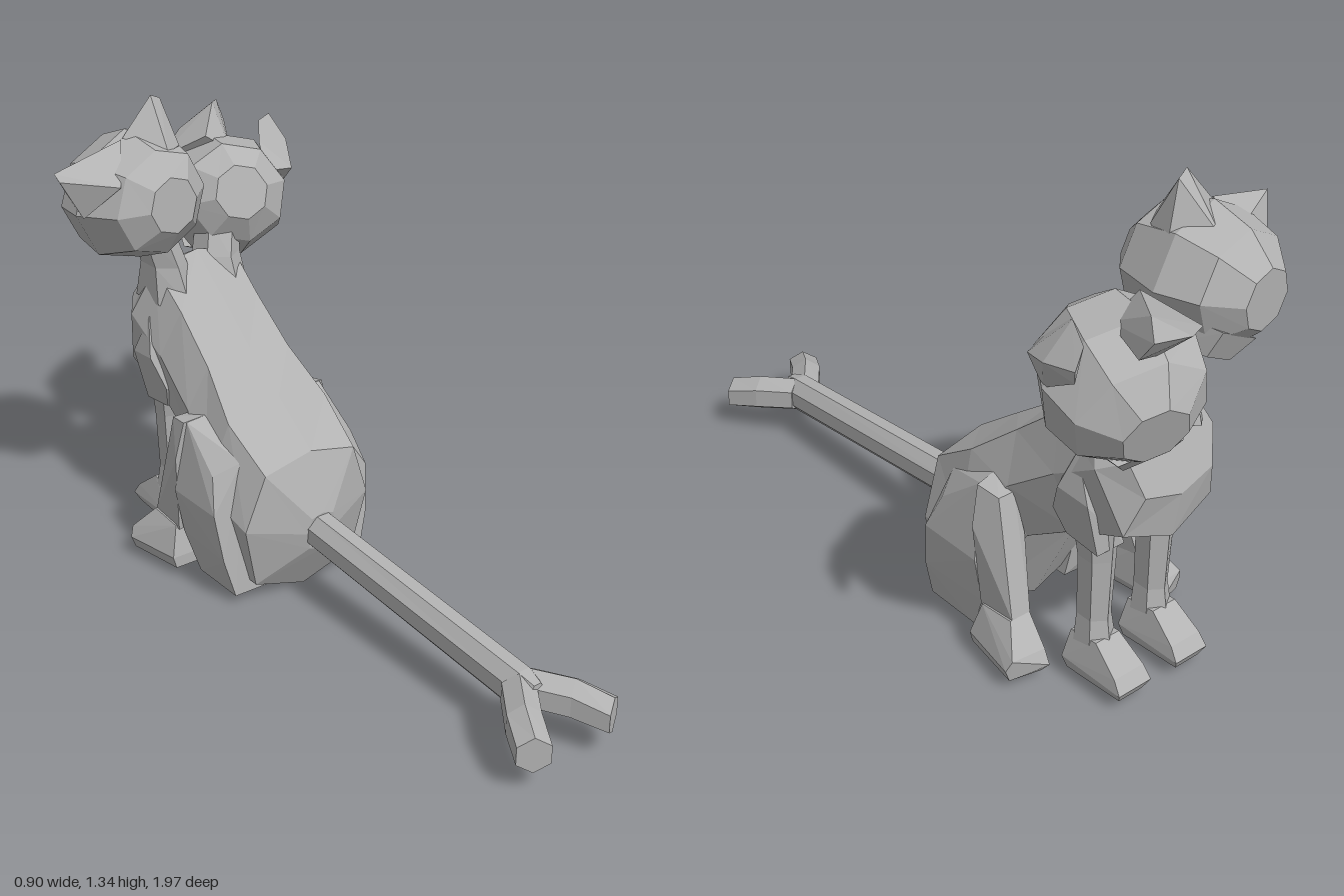
import * as THREE from 'three';
import { ConvexGeometry } from 'three/addons/geometries/ConvexGeometry.js';

const V = (x, y, z) => new THREE.Vector3(x, y, z);
const grey = new THREE.MeshStandardMaterial({ color: 0xb2b2b2, flatShading: true });
grey.name = 'grey';

// Skin a list of equal-sized rings and close both ends; faces are turned outward
function loft(rings) {
  const tris = [], n = rings[0].length;
  for (let i = 0; i < rings.length - 1; i++) {
    for (let j = 0; j < n; j++) {
      const k = (j + 1) % n, a = rings[i], b = rings[i + 1];
      tris.push([a[j], a[k], b[k]], [a[j], b[k], b[j]]);
    }
  }
  const last = rings[rings.length - 1];
  for (let j = 1; j < n - 1; j++) {
    tris.push([rings[0][0], rings[0][j + 1], rings[0][j]], [last[0], last[j], last[j + 1]]);
  }
  let volume = 0;
  for (const [a, b, c] of tris) volume += a.dot(b.clone().cross(c));
  const pts = tris.flatMap(([a, b, c]) => (volume < 0 ? [a, c, b] : [a, b, c]));
  const g = new THREE.BufferGeometry().setFromPoints(pts);
  g.computeVertexNormals();
  return g;
}

// Ring around a centre, spanned by two half-axis vectors
function ring(c, u, v, n, turn = 0) {
  return Array.from({ length: n }, (_, i) => {
    const t = ((i + turn) / n) * Math.PI * 2;
    return c.clone().addScaledVector(u, Math.cos(t)).addScaledVector(v, Math.sin(t));
  });
}

function part(parent, name, geometry) {
  const m = new THREE.Mesh(geometry, grey);
  m.name = name;
  parent.add(m);
  return m;
}

const hull = (pts) => new ConvexGeometry(pts.map((p) => V(...p)));

// Upright limb from rows of x, y, z, half width, half depth
const limb = (rows, n = 6) =>
  loft(rows.map(([x, y, z, w, d]) => ring(V(x, y, z), V(w, 0, 0), V(0, 0, d), n, 0.5)));

// Torso rows: top z, top y, bottom z, bottom y, half width
function torso() {
  const outline = [[0, 1], [0.72, 0.84], [1, 0.1], [0.8, -0.75], [0, -1], [-0.8, -0.75], [-1, 0.1], [-0.72, 0.84]];
  const rows = [
    [-0.035, 0.27, -0.045, 0.15, 0.05],
    [-0.09, 0.44, -0.13, 0.0, 0.21],
    [-0.24, 0.55, -0.32, 0.02, 0.23],
    [-0.38, 0.65, -0.46, 0.3, 0.19],
    [-0.52, 0.77, -0.63, 0.4, 0.18],
    [-0.64, 0.87, -0.8, 0.47, 0.185],
    [-0.74, 0.82, -0.82, 0.6, 0.14],
  ];
  return loft(rows.map(([tz, ty, bz, by, w]) => outline.map(([x, s]) => {
    const t = (s + 1) / 2;
    return V(x * w, by + (ty - by) * t, bz + (tz - bz) * t);
  })));
}

// Faceted head looking along "face", with its crown along "up"
function head(name, centre, up, face) {
  const g = new THREE.Group();
  g.name = name;
  const f = V(...face).normalize();
  const r = V(...up).cross(f).normalize();
  const u = f.clone().cross(r);
  g.applyMatrix4(new THREE.Matrix4().makeBasis(r, u, f).setPosition(...centre));
  const rows = [[-0.185, 0.08, 0.08], [-0.13, 0.155, 0.145], [0, 0.198, 0.185], [0.11, 0.17, 0.15], [0.18, 0.085, 0.08]];
  part(g, 'skull', loft(rows.map(([z, w, h]) => ring(V(0, 0, z), V(w, 0, 0), V(0, h, 0), 8, 0.5))));
  // lower jaw sits under a slight overhang of the muzzle
  part(g, 'jaw', hull([
    [-0.12, -0.1, 0.05], [0.12, -0.1, 0.05], [-0.08, -0.1, 0.15], [0.08, -0.1, 0.15],
    [-0.09, -0.17, 0.04], [0.09, -0.17, 0.04], [-0.055, -0.17, 0.12], [0.055, -0.17, 0.12],
  ]));
  return g;
}

export function createModel() {
  const cat = new THREE.Group();
  cat.name = 'twoHeadedCat';

  part(cat, 'body', torso());

  // Tail with a forked end
  const tailRows = [[-0.1, 0.215, 0.052, 0.058], [0.78, 0.14, 0.05, 0.06], [0.83, 0.13, 0.03, 0.055]];
  part(cat, 'tail', loft(tailRows.map(([z, y, w, h]) => ring(V(0, y, z), V(w, 0, 0), V(0, h, 0), 8, 0.5))));
  for (const s of [1, -1]) {
    const rows = [[0.015, 0.14, 0.78, 0.055], [0.085, 0.13, 0.875, 0.057], [0.132, 0.11, 0.962, 0.05]];
    part(cat, 'tailFork', loft(rows.map(([x, y, z, h]) =>
      ring(V(s * x, y, z), V(s * 0.042, 0, -0.026), V(0, h, 0), 6, 0.5))));
  }

  for (const s of [1, -1]) {
    const side = (pts) => hull(pts.map(([x, y, z]) => [s * x, y, z]));
    const mirrored = (rows) => limb(rows.map(([x, ...rest]) => [s * x, ...rest]));

    // Hind leg: broad thigh, shin running down its front edge, splayed foot
    part(cat, 'thigh', side([
      [0.17, 0.5, -0.35], [0.23, 0.49, -0.36], [0.17, 0.42, -0.18], [0.24, 0.38, -0.22],
      [0.265, 0.28, -0.18], [0.265, 0.28, -0.38], [0.25, 0.14, -0.16], [0.22, 0.025, -0.15],
      [0.22, 0.025, -0.33], [0.24, 0.14, -0.38], [0.1, 0.025, -0.15], [0.1, 0.03, -0.33], [0.12, 0.4, -0.4],
    ]));
    part(cat, 'shin', side([
      [0.17, 0.5, -0.35], [0.24, 0.49, -0.36], [0.18, 0.48, -0.43], [0.23, 0.48, -0.43],
      [0.265, 0.38, -0.37], [0.16, 0.36, -0.45], [0.24, 0.34, -0.455],
      [0.18, 0.14, -0.4], [0.25, 0.14, -0.39], [0.19, 0.16, -0.51], [0.25, 0.16, -0.51],
    ]));
    part(cat, 'hindFoot', side([
      [0.18, 0.15, -0.4], [0.255, 0.15, -0.4], [0.19, 0.17, -0.5], [0.255, 0.16, -0.51],
      [0.17, 0.06, -0.38], [0.28, 0.06, -0.38], [0.19, 0.025, -0.38], [0.27, 0.025, -0.38],
      [0.2, 0.09, -0.58], [0.3, 0.09, -0.57], [0.2, 0.05, -0.6], [0.313, 0.06, -0.56],
      [0.21, 0.025, -0.58], [0.3, 0.025, -0.56],
    ]));

    // Front leg and shoulder
    part(cat, 'shoulder', side([
      [0.1, 0.72, -0.6], [0.17, 0.7, -0.64], [0.195, 0.59, -0.6], [0.19, 0.58, -0.7],
      [0.15, 0.43, -0.59], [0.15, 0.42, -0.7], [0.06, 0.42, -0.59], [0.06, 0.42, -0.7],
      [0.17, 0.5, -0.56], [0.1, 0.5, -0.56],
    ]));
    part(cat, 'frontLeg', mirrored([
      [0.105, 0.5, -0.645, 0.058, 0.065], [0.1, 0.38, -0.65, 0.048, 0.052],
      [0.1, 0.2, -0.648, 0.042, 0.05], [0.1, 0.1, -0.655, 0.055, 0.06],
    ]));
    part(cat, 'frontPaw', side([
      [0.06, 0.14, -0.61], [0.14, 0.14, -0.61], [0.06, 0.15, -0.7], [0.14, 0.15, -0.7],
      [0.04, 0.06, -0.6], [0.16, 0.06, -0.6], [0.05, 0.025, -0.61], [0.15, 0.025, -0.61],
      [0.05, 0.09, -0.78], [0.15, 0.09, -0.78], [0.045, 0.055, -0.805], [0.155, 0.055, -0.805],
      [0.06, 0.025, -0.79], [0.14, 0.025, -0.79],
    ]));
  }

  // Two necks
  part(cat, 'rightNeck', limb([[-0.085, 0.74, -0.67, 0.08, 0.12], [-0.1, 0.85, -0.66, 0.06, 0.08], [-0.135, 0.96, -0.66, 0.055, 0.07]]));
  part(cat, 'leftNeck', limb([[0.085, 0.74, -0.67, 0.08, 0.12], [0.085, 0.84, -0.67, 0.065, 0.08], [0.12, 0.94, -0.7, 0.065, 0.07]]));

  cat.add(head('rightHead', [-0.185, 1.065, -0.67], [-0.44, 0.89, 0.1], [-0.12, -0.05, -1]));
  cat.add(head('leftHead', [0.185, 0.965, -0.775], [0.3, 0.9, -0.2], [0.25, -0.3, -0.9]));

  // Upright ears of the right head
  part(cat, 'rightHeadEar', hull([
    [-0.45, 1.185, -0.62], [-0.445, 1.165, -0.6], [-0.38, 1.05, -0.6], [-0.35, 1.06, -0.72],
    [-0.3, 1.14, -0.53], [-0.23, 1.235, -0.64], [-0.25, 1.18, -0.72],
  ]));
  part(cat, 'rightHeadEar', hull([
    [-0.125, 1.34, -0.65], [-0.09, 1.325, -0.66], [-0.22, 1.235, -0.65], [-0.13, 1.2, -0.56],
    [-0.07, 1.2, -0.6], [-0.04, 1.15, -0.68], [-0.15, 1.19, -0.75],
  ]));

  // Long swept ears of the left head
  part(cat, 'leftHeadEar', hull([
    [0.31, 1.185, -0.99], [0.31, 1.13, -0.95], [0.25, 1.2, -0.92], [0.12, 1.155, -0.76],
    [0.03, 1.08, -0.87], [0.15, 1.13, -0.95], [0.2, 1.08, -0.9], [0.2, 1.1, -0.75],
  ]));
  part(cat, 'leftHeadEar', hull([
    [0.45, 1.135, -0.91], [0.44, 1.1, -0.9], [0.37, 1.14, -0.85], [0.28, 1.12, -0.72],
    [0.24, 1.06, -0.63], [0.355, 1.04, -0.66], [0.36, 0.98, -0.72], [0.42, 1.09, -0.78],
  ]));

  return cat;
}
